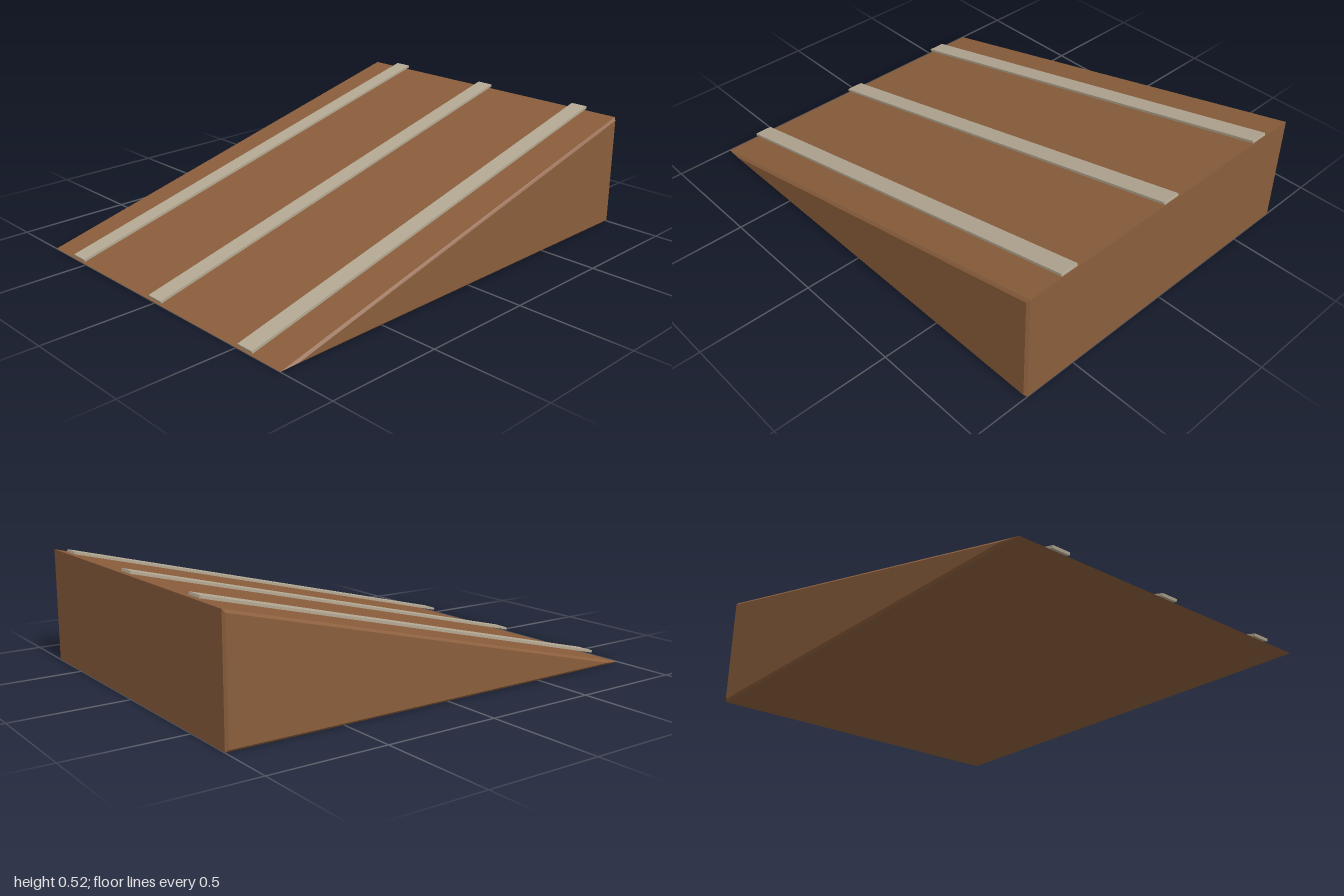
import * as THREE from 'three';

const SLOPE = 0.25; // rise per unit of x
const BEVEL = 0.01;

// Wedge lofted through triangular cross-sections, with small bevels on the two side faces
function wedgeGeometry() {
  const outer = [[-1, 0], [1, 0], [1, 0.5]];
  const inner = [[-0.92, BEVEL], [0.99, BEVEL], [0.99, 0.487]];
  const rings = [[inner, -0.75], [outer, -0.75 + BEVEL], [outer, 0.75 - BEVEL], [inner, 0.75]];
  const positions = rings.flatMap(([tri, z]) => tri.flatMap(([x, y]) => [x, y, z]));
  const index = [2, 1, 0, 9, 10, 11]; // end caps
  for (let r = 0; r < 3; r++) {
    for (let i = 0; i < 3; i++) {
      const a = r * 3 + i, b = r * 3 + (i + 1) % 3;
      index.push(a, b, b + 3, a, b + 3, a + 3);
    }
  }
  const indexed = new THREE.BufferGeometry();
  indexed.setAttribute('position', new THREE.Float32BufferAttribute(positions, 3));
  indexed.setIndex(index);
  const geometry = indexed.toNonIndexed();
  geometry.computeVertexNormals();
  return geometry;
}

export function createModel() {
  const group = new THREE.Group();
  group.name = 'ramp';
  const wood = new THREE.MeshStandardMaterial({ color: 0x8b5e3c });
  wood.name = 'brown wood';
  const grip = new THREE.MeshStandardMaterial({ color: 0xb5a993 });
  grip.name = 'tan grip';

  const wedge = new THREE.Mesh(wedgeGeometry(), wood);
  wedge.name = 'wedge';
  group.add(wedge);

  // Three grip strips hovering just above the slope
  const angle = Math.atan(SLOPE);
  const stripGeometry = new THREE.BoxGeometry(2 / Math.cos(angle), 0.011, 0.08);
  [['leftStrip', 0.55], ['middleStrip', 0], ['rightStrip', -0.55]].forEach(([name, z]) => {
    const strip = new THREE.Mesh(stripGeometry, grip);
    strip.name = name;
    strip.position.set(0, 0.265, z);
    strip.rotation.z = angle;
    group.add(strip);
  });
  return group;
}
